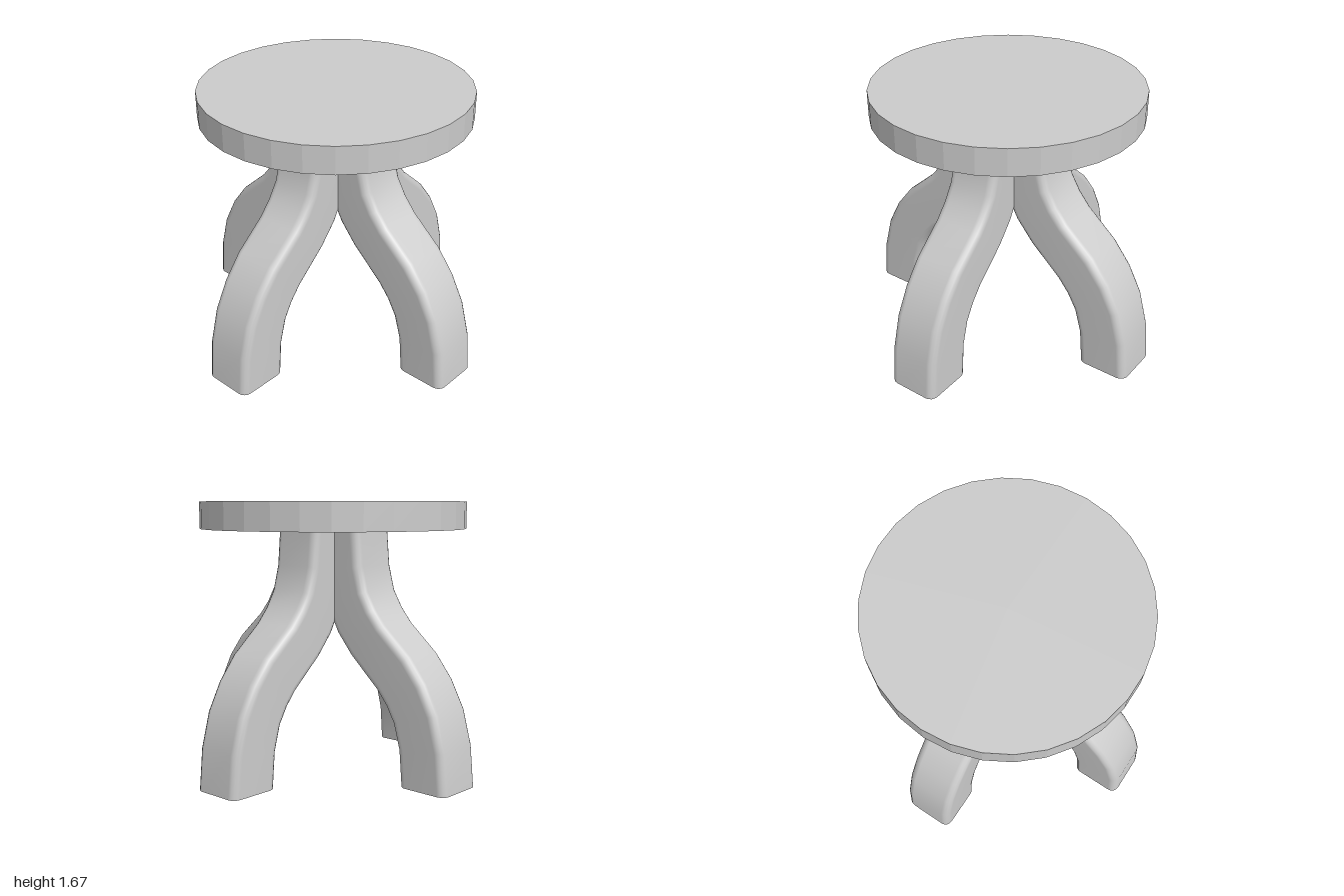
import * as THREE from 'three';

const material = new THREE.MeshStandardMaterial({ color: 0xcccccc });
const flatMaterial = new THREE.MeshStandardMaterial({ color: 0xcccccc, flatShading: true });

// Leg side profile from floor to seat: [inner x, inner y, outer x, outer y]
const ROWS = [
  [0.67, 0, 1, 0],
  [0.652, 0.22, 0.977, 0.25],
  [0.61, 0.37, 0.92, 0.46],
  [0.555, 0.465, 0.83, 0.63],
  [0.485, 0.55, 0.715, 0.775],
  [0.28, 0.735, 0.525, 0.94],
  [0.17, 0.865, 0.45, 1.03],
  [0.08, 1.03, 0.39, 1.13],
  [0.02, 1.24, 0.35, 1.28],
  [0.0, 1.51, 0.33, 1.51],
];

// Rounded square outline, counterclockwise from above; u runs 0 (inner) to 1 (outer)
function roundedSection(half, radius, steps) {
  const points = [];
  const corners = [[1, -1], [-1, -1], [-1, 1], [1, 1]];
  corners.forEach(([sx, sz], k) => {
    for (let i = 0; i <= steps; i++) {
      const a = (k + i / steps) * Math.PI / 2;
      const x = sx * (half - radius) + radius * Math.cos(a);
      const z = sz * (half - radius) - radius * Math.sin(a);
      points.push({ u: 0.5 + x / (2 * half), z });
    }
  });
  return points;
}

// Sweep of the section through the profile rows, with flat end caps
function legGeometry() {
  const section = roundedSection(0.164, 0.05, 4);
  const n = section.length;
  const positions = [];
  const index = [];
  const addRing = ([ix, iy, ox, oy]) => {
    const start = positions.length / 3;
    for (const { u, z } of section) {
      positions.push(ix + (ox - ix) * u, iy + (oy - iy) * u, z);
    }
    return start;
  };

  ROWS.forEach(addRing);
  for (let r = 0; r < ROWS.length - 1; r++) {
    for (let j = 0; j < n; j++) {
      const a = r * n + j, b = r * n + (j + 1) % n;
      index.push(a, b, b + n, a, b + n, a + n);
    }
  }

  const bottom = addRing(ROWS[0]);
  const top = addRing(ROWS[ROWS.length - 1]);
  for (let j = 1; j < n - 1; j++) {
    index.push(bottom, bottom + j + 1, bottom + j);
    index.push(top, top + j, top + j + 1);
  }

  const geometry = new THREE.BufferGeometry();
  geometry.setAttribute('position', new THREE.Float32BufferAttribute(positions, 3));
  geometry.setIndex(index);
  geometry.computeVertexNormals();
  return geometry;
}

export function createModel() {
  const stool = new THREE.Group();
  stool.name = 'stool';

  // Round seat
  const seat = new THREE.Mesh(new THREE.CylinderGeometry(0.83, 0.83, 0.167, 30), flatMaterial);
  seat.name = 'seat';
  seat.position.y = 1.5835;
  stool.add(seat);

  // Four curved legs
  const geometry = legGeometry();
  ['leftLeg', 'backLeg', 'rightLeg', 'frontLeg'].forEach((name, i) => {
    const leg = new THREE.Mesh(geometry, material);
    leg.name = name;
    leg.rotation.y = i * Math.PI / 2;
    stool.add(leg);
  });

  return stool;
}
